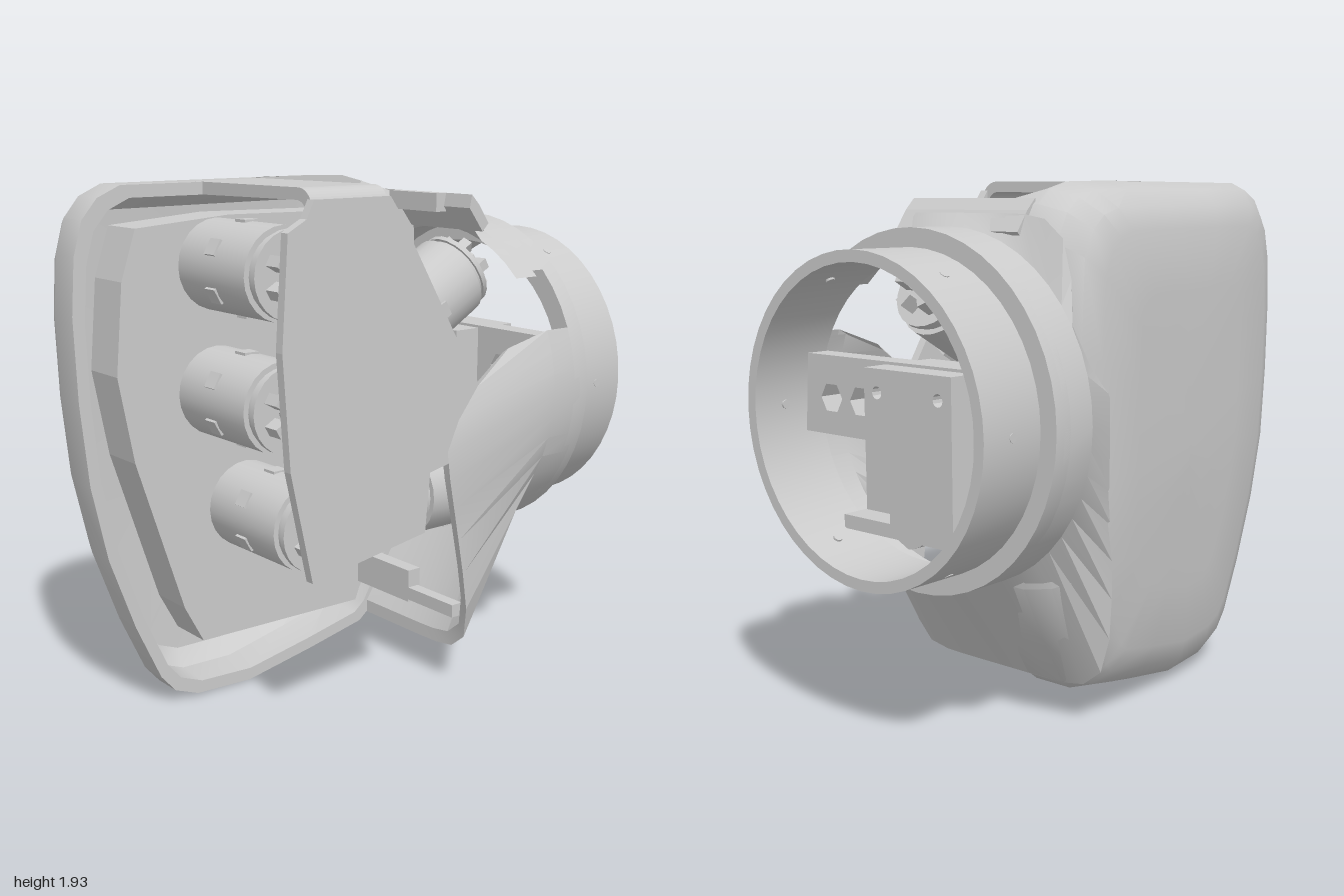
import * as THREE from 'three';
import { toCreasedNormals } from 'three/addons/utils/BufferGeometryUtils.js';

const WRIST_Y = 1.15;

export function createModel() {
  const root = new THREE.Group();
  const grey = new THREE.MeshStandardMaterial({ color: 0xcccccc, side: THREE.DoubleSide });

  function add(geometry, name, parent = root) {
    const mesh = new THREE.Mesh(geometry, grey);
    mesh.name = name;
    parent.add(mesh);
    return mesh;
  }
  function box(name, [x0, x1], [y0, y1], [z0, z1], parent = root) {
    const mesh = add(new THREE.BoxGeometry(x1 - x0, y1 - y0, z1 - z0), name, parent);
    mesh.position.set((x0 + x1) / 2, (y0 + y1) / 2, (z0 + z1) / 2);
    return mesh;
  }
  // Plate with an outline in (z, y), reaching from x0 to x1
  function slab(name, points, x0, x1) {
    const shape = new THREE.Shape(points.map(([z, y]) => new THREE.Vector2(-z, y)));
    const g = new THREE.ExtrudeGeometry(shape, { depth: x1 - x0, bevelEnabled: false });
    return add(g.rotateY(Math.PI / 2).translate(x0, 0, 0), name);
  }
  // Surface through equal loops of [x, y, z]; skip(i, j) leaves a face open
  function loft(loops, skip = () => false, crease = 0.5) {
    const n = loops[0].length, index = [];
    for (let i = 0; i < loops.length - 1; i++) {
      for (let j = 0; j < n; j++) {
        if (skip(i, j)) continue;
        const a = i * n + j, b = i * n + (j + 1) % n;
        index.push(a, b, a + n, b, b + n, a + n);
      }
    }
    const g = new THREE.BufferGeometry();
    g.setAttribute('position', new THREE.Float32BufferAttribute(loops.flat(2), 3));
    g.setIndex(index);
    return toCreasedNormals(g, crease);
  }
  const lerpTable = (table, v) => {
    for (let i = 1; i < table.length; i++) {
      const [a, p] = table[i - 1], [b, q] = table[i];
      if (v <= b) return p + (q - p) * Math.max(0, (v - a) / (b - a));
    }
    return table[table.length - 1][1];
  };

  // Back-of-hand shell: a rounded tray open towards +x, closed by a ridge in the middle
  const outline = [
    [0.3, 0], [0.54, 0.01], [0.64, 0.05], [0.7, 0.12], [0.8, 0.34], [0.9, 0.62], [0.96, 0.9],
    [0.99, 1.2], [1, 1.5], [0.985, 1.7], [0.95, 1.82], [0.89, 1.89], [0.8, 1.93], [0.47, 1.93],
    [0.16, 1.93], [0.13, 1.93], [-0.1, 1.93], [-0.3, 1.925], [-0.4, 1.9], [-0.47, 1.85],
    [-0.53, 1.75], [-0.55, 1.4], [-0.55, 0.9], [-0.54, 0.55], [-0.42, 0.33], [-0.31, 0.15],
    [-0.26, 0.11], [0, 0.055],
  ];
  const inset = (d) => outline.map(([z, y]) => [
    0.2 + (z - 0.2) * (1 - d / 0.78), 1 + (y - 1) * (1 - d / 0.95),
  ]);
  // Shell is deepest near the wrist and shallower at the knuckles and bottom edge
  const depthAt = (z, y) => (0.545 - 0.1 * (z + 0.4)) * (y < 0.9 ? 1 - 0.12 * (0.9 - y) : 1);
  const layer = (d, t) => inset(d).map(([z, y]) => [-0.13 + t * (0.13 - depthAt(z, y)), y, z]);
  const rim = (d) => inset(d).map(([z, y], i) => [i >= 15 && i <= 18 ? -0.3 : -0.13, y, z]);
  add(loft([
    layer(0.78, 1), layer(0.4, 1), layer(0.17, 0.97), layer(0.09, 0.88), layer(0.03, 0.7),
    layer(0, 0.45), rim(0), rim(0.045), layer(0.05, 0.5), layer(0.1, 0.75), layer(0.78, 0.85),
  ]), 'backShell');

  // Raised motor mount inside the shell
  slab('motorMount', [
    [0.5, 0.21], [0.58, 0.36], [0.77, 0.95], [0.83, 1.27], [0.8, 1.6], [0.74, 1.78],
    [0.35, 1.81], [-0.4, 1.8], [-0.48, 1.6], [-0.48, 0.6], [-0.27, 0.25], [-0.25, 0.2],
  ], -0.33, -0.145);

  // Palm plate with its strap across the top
  slab('palmPlate', [
    [0.47, 1.9], [0.5, 1.84], [0.575, 1.8], [0.6, 1.42], [0.57, 1.02], [0.48, 0.62], [-0.03, 0.7],
    [-0.05, 0.92], [-0.15, 0.94], [-0.31, 1.17], [-0.18, 1.37], [0.12, 1.86], [0.15, 1.9],
  ], 0.475, 0.51);
  const strapShape = new THREE.Shape();
  strapShape.moveTo(-0.2, 1.93);
  strapShape.lineTo(0.43, 1.935);
  strapShape.quadraticCurveTo(0.5, 1.93, 0.51, 1.83);
  strapShape.lineTo(0.475, 1.83);
  strapShape.quadraticCurveTo(0.47, 1.89, 0.42, 1.895);
  strapShape.lineTo(-0.2, 1.885);
  add(new THREE.ExtrudeGeometry(strapShape, { depth: 0.32, bevelEnabled: false })
    .translate(0, 0, 0.15), 'topStrap');
  slab('topRearBar', [[-0.46, 1.87], [-0.5, 1.83], [-0.55, 1.76], [-0.52, 1.73], [-0.45, 1.82]],
    -0.3, 0.27);

  // Wrist skirt: round at the wrist, squared towards the palm, open on the upper thumb side
  const SIDES = 48;
  const edgeZ = [[0.14, -0.3], [0.92, -0.14], [1.02, -0.13], [1.2, -0.27], [1.4, -0.52], [1.82, -0.51]];
  const circle = (r, z) => Array.from({ length: SIDES }, (_, j) => {
    const a = j / SIDES * Math.PI * 2;
    return [r * Math.cos(a), WRIST_Y + r * Math.sin(a), z];
  });
  const palmEnd = (scale) => Array.from({ length: SIDES }, (_, j) => {
    const a = j / SIDES * Math.PI * 2, c = Math.cos(a), s = Math.sin(a);
    const r = 1 / (Math.abs(c) ** 7 + Math.abs(s) ** 7) ** (1 / 7);
    const x = 0.51 * r * c, y = 0.98 + 0.84 * r * s, z = lerpTable(edgeZ, y);
    return [x * scale, 0.98 + (y - 0.98) * scale, x < -0.2 ? Math.min(-0.3, z) : z];
  });
  // The collar band has a smaller opening than the skirt
  const open = (i, j) => j >= 3 && j < (i === 0 || i === 4 ? 6 : 9);
  add(loft([
    circle(0.625, -0.7), circle(0.625, -0.56), palmEnd(1), palmEnd(0.94),
    circle(0.585, -0.56), circle(0.585, -0.7),
  ], open, 0.35), 'wristSkirt');

  // Stepped wrist collar
  const profile = [
    [0.52, -1], [0.56, -1], [0.56, -0.74], [0.625, -0.74], [0.625, -0.67],
    [0.585, -0.67], [0.585, -0.7], [0.52, -0.7], [0.52, -1],
  ].map(([r, z]) => new THREE.Vector2(r, z));
  const collar = new THREE.LatheGeometry(profile, SIDES).rotateX(Math.PI / 2);
  add(toCreasedNormals(collar, 0.5).translate(0, WRIST_Y, 0), 'wristCollar');
  for (let i = 0; i < 6; i++) {
    const a = Math.PI / 3 * i;
    const screw = add(new THREE.CylinderGeometry(0.016, 0.016, 0.05, 8), 'collarScrew');
    screw.position.set(0.537 * Math.cos(a), WRIST_Y + 0.537 * Math.sin(a), -0.87);
    screw.rotation.z = a - Math.PI / 2;
  }

  // Cross beam with hexagonal cable holes, and the connector box inside the wrist
  const beam = new THREE.Shape([[-0.49, 1.05], [0.49, 1.05], [0.47, 1.33], [-0.47, 1.33]]
    .map((p) => new THREE.Vector2(...p)));
  for (const x of [0.2, 0.35]) {
    beam.holes.push(new THREE.Path().absarc(x, 1.18, 0.055, 0, Math.PI * 2, true));
  }
  add(new THREE.ExtrudeGeometry(beam, { depth: 0.09, bevelEnabled: false, curveSegments: 3 })
    .translate(0, 0, -0.8), 'wristBeam');
  const connector = new THREE.Shape([
    [-0.33, 0.76], [-0.04, 0.76], [-0.04, 0.84], [0.07, 0.84], [0.07, 1.32], [-0.33, 1.32],
  ].map((p) => new THREE.Vector2(...p)));
  for (const x of [-0.27, 0.01]) {
    connector.holes.push(new THREE.Path().absarc(x, 1.24, 0.022, 0, Math.PI * 2, true));
  }
  add(new THREE.ExtrudeGeometry(connector, { depth: 0.31, bevelEnabled: false, curveSegments: 6 })
    .translate(0, 0, -0.9), 'connectorBox');
  box('wristLowerRib', [-0.3, 0.3], [0.72, 0.77], [-0.8, -0.55]);

  // Motors: can, end cap, gear hub and small windows; built along +x
  function motor(name, position, axis) {
    const group = new THREE.Group();
    group.name = name;
    const disc = (r, x0, x1, sides, part) => {
      const g = new THREE.CylinderGeometry(r, r, x1 - x0, sides).rotateZ(Math.PI / 2);
      add(toCreasedNormals(g, 0.6).translate((x0 + x1) / 2, 0, 0), part, group);
    };
    disc(0.165, -0.21, 0.19, 24, 'motorCan');
    disc(0.145, 0.19, 0.215, 24, 'motorCap');
    disc(0.155, 0.215, 0.235, 24, 'motorFlange');
    disc(0.05, 0.235, 0.31, 10, 'motorHub');
    for (let i = 0; i < 6; i++) {
      const a = i / 6 * Math.PI * 2;
      const post = box('hubPost', [0.235, 0.3], [-0.025, 0.025], [-0.02, 0.02], group);
      post.position.y = 0.09 * Math.cos(a);
      post.position.z = 0.09 * Math.sin(a);
      post.rotation.x = a;
      const pane = box('motorWindow', [-0.05, 0.01], [-0.006, 0.006], [-0.03, 0.03], group);
      pane.position.y = 0.165 * Math.cos(a);
      pane.position.z = 0.165 * Math.sin(a);
      pane.rotation.x = a;
    }
    group.position.set(...position);
    group.quaternion.setFromUnitVectors(new THREE.Vector3(1, 0, 0),
      new THREE.Vector3(...axis).normalize());
    root.add(group);
  }
  motor('upperFingerMotor', [0.09, 1.64, 0.42], [1, 0, 0]);
  motor('middleFingerMotor', [0.09, 1.18, 0.43], [1, 0, 0]);
  motor('lowerFingerMotor', [0.09, 0.73, 0.31], [1, 0, 0]);
  motor('wristMotor', [0.09, 1.45, -0.355], [0, 0.5, -0.86]);
  motor('thumbMotor', [0.24, 0.77, -0.36], [0, 0, 1]);

  // Inner brackets and shelves
  box('topShelf', [-0.14, 0.13], [1.8, 1.87], [-0.46, -0.41]);
  box('lowerShelf', [-0.14, 0.17], [0.28, 0.41], [-0.32, -0.26]);
  box('lowerLedge', [0.17, 0.42], [0.29, 0.34], [-0.31, -0.26]);
  box('innerBracket', [-0.14, 0.16], [0.92, 0.97], [-0.3, 0.14]);
  box('innerPost', [0.16, 0.28], [0.92, 1.05], [-0.12, 0]);
  box('innerSidePanel', [0.27, 0.39], [0.95, 0.98], [-0.28, 0.13]);
  for (let i = 0; i < 3; i++) {
    box('bracketPin', [0.03 + i * 0.04, 0.045 + i * 0.04], [0.9, 0.96], [0.14, 0.2]);
  }
  return root;
}
